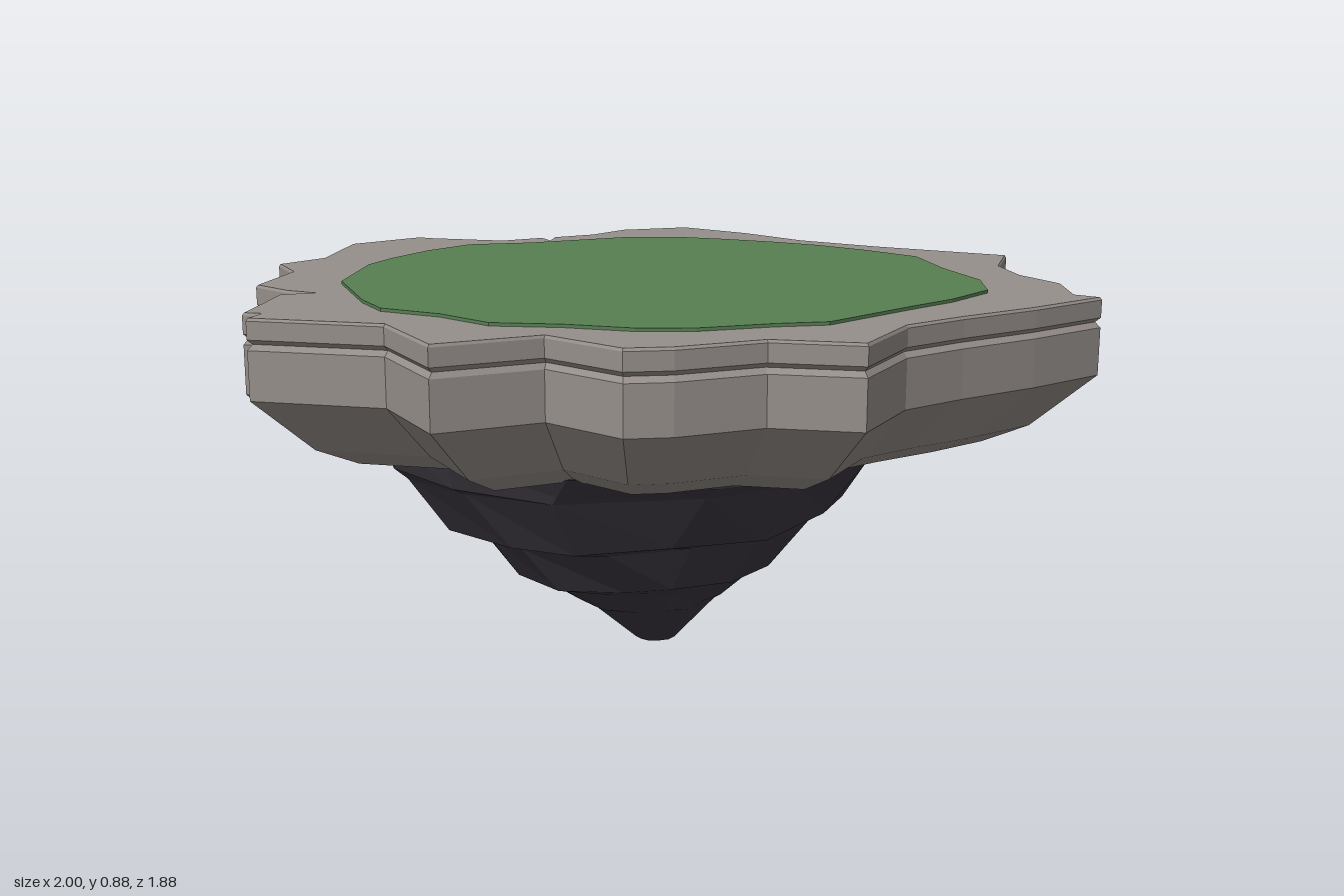
import * as THREE from 'three';

const stone = new THREE.MeshStandardMaterial({ color: 0x968f8b, flatShading: true });
stone.name = 'grey stone';
const grass = new THREE.MeshStandardMaterial({ color: 0x587f52, flatShading: true });
grass.name = 'grass green';
const darkRock = new THREE.MeshStandardMaterial({ color: 0x3c3840, flatShading: true });
darkRock.name = 'dark rock';

// Rim of the stone slab as x, z corners, clockwise from the back
const rim = [
  [-0.37, -0.945], [-0.16, -0.9], [0.04, -0.82], [0.27, -0.79], [0.62, -0.775], [0.66, -0.58],
  [0.75, -0.45], [0.87, -0.36], [0.94, -0.21], [1, -0.2], [0.91, 0], [0.81, 0.18],
  [0.74, 0.33], [0.74, 0.555], [0.555, 0.605], [0.43, 0.755], [0.35, 0.81], [0.15, 0.755],
  [0.005, 0.94], [-0.2, 0.79], [-0.49, 0.86], [-0.5, 0.8], [-0.54, 0.81], [-0.58, 0.7],
  [-0.625, 0.58], [-0.57, 0.525], [-0.65, 0.525], [-0.76, 0.49], [-0.82, 0.28], [-0.93, 0.19],
  [-0.9, 0.05], [-1, -0.21], [-0.92, -0.41], [-0.89, -0.405], [-0.68, -0.45], [-0.615, -0.55],
  [-0.565, -0.51], [-0.59, -0.58], [-0.525, -0.68], [-0.5, -0.815],
];

// Edge of the lawn, same order
const lawnEdge = [
  [-0.14, -0.7], [0, -0.705], [0.14, -0.695], [0.28, -0.66], [0.44, -0.6], [0.565, -0.43],
  [0.7, -0.285], [0.76, -0.145], [0.73, 0.015], [0.685, 0.14], [0.6, 0.4], [0.51, 0.47],
  [0.395, 0.585], [0.29, 0.64], [0.14, 0.665], [0, 0.715], [-0.145, 0.67], [-0.295, 0.665],
  [-0.395, 0.59], [-0.595, 0.39], [-0.7, 0.135], [-0.715, 0.015], [-0.715, -0.145],
  [-0.685, -0.295], [-0.56, -0.4], [-0.395, -0.61], [-0.26, -0.685],
];

// Skin a stack of rings (top to bottom, clockwise from above) and cap both ends
function loft(rings) {
  const positions = [];
  const tri = (a, b, c) => positions.push(...a, ...b, ...c);
  for (let r = 0; r < rings.length - 1; r++) {
    const up = rings[r], low = rings[r + 1], n = up.length;
    for (let i = 0; i < n; i++) {
      const j = (i + 1) % n;
      tri(up[i], up[j], low[i]);
      tri(up[j], low[j], low[i]);
    }
  }
  const cap = (ring, facesUp) => {
    const flat = ring.map(([x, , z]) => new THREE.Vector2(x, z));
    for (const [i, j, k] of THREE.ShapeUtils.triangulateShape(flat, [])) {
      const [a, b, c] = [ring[i], ring[j], ring[k]];
      const ny = (b[2] - a[2]) * (c[0] - a[0]) - (b[0] - a[0]) * (c[2] - a[2]);
      if ((ny > 0) === facesUp) tri(a, b, c);
      else tri(a, c, b);
    }
  };
  cap(rings[0], true);
  cap(rings[rings.length - 1], false);
  const geometry = new THREE.BufferGeometry();
  geometry.setAttribute('position', new THREE.Float32BufferAttribute(positions, 3));
  geometry.computeVertexNormals();
  return geometry;
}

// Repeat an outline at each [scale, height] of a profile
const stack = (outline, profile) =>
  profile.map(([s, y]) => outline.map(([x, z]) => [x * s, y, z * s]));

function seeded(seed) {
  return () => {
    seed = (seed * 16807) % 2147483647;
    return seed / 2147483647 - 0.5;
  };
}

// Stepped rock: jagged rings shrinking to a blunt tip
function rockRings() {
  const sides = 14;
  const random = seeded(4217);
  const profile = [
    [0.61, 0.54], [0.595, 0.485], [0.56, 0.465], [0.475, 0.335], [0.415, 0.315],
    [0.33, 0.205], [0.27, 0.185], [0.19, 0.118], [0.165, 0.105], [0.05, 0],
  ];
  return profile.map(([radius, y], r) => {
    const isEnd = r === 0 || r === profile.length - 1;
    const shift = 0.01 - 0.05 * (y / 0.54);
    const ring = [];
    for (let i = 0; i < sides; i++) {
      const angle = ((i + random() * 0.35) / sides) * Math.PI * 2;
      const rad = radius * (1 + random() * 0.06);
      const x = Math.cos(angle) * rad;
      const lift = isEnd ? 0 : x * 0.05 + random() * 0.012;
      ring.push([x + shift, y + lift, Math.sin(angle) * rad]);
    }
    return ring;
  });
}

export function createModel() {
  const group = new THREE.Group();
  group.name = 'floatingIsland';
  const add = (name, rings, material) => {
    const mesh = new THREE.Mesh(loft(rings), material);
    mesh.name = name;
    group.add(mesh);
  };

  // Slab with a narrow groove round its side and a chamfered underside
  add('stoneSlab', stack(rim, [
    [0.995, 0.87], [1, 0.864], [1, 0.825], [0.988, 0.815], [1, 0.803],
    [1, 0.697], [0.86, 0.575], [0.76, 0.532],
  ]), stone);

  add('lawn', stack(lawnEdge, [[1, 0.877], [1, 0.869]]), grass);

  add('hangingRock', rockRings(), darkRock);

  return group;
}
